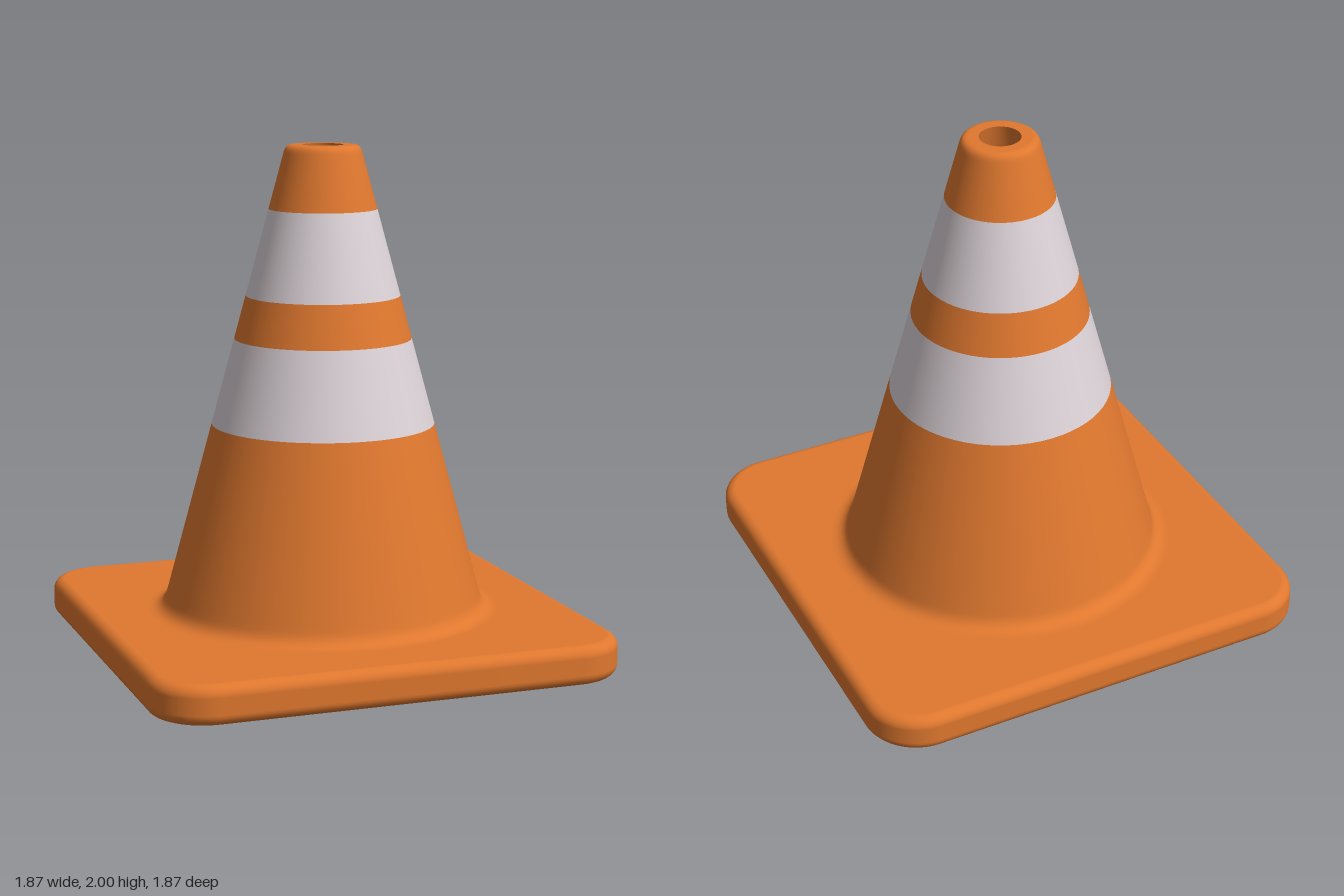
import * as THREE from 'three';

const HALF = 0.935, CORNER = 0.22, BEVEL = 0.045, THICK = 0.155, HOLE = 0.58;
const SIDES = 64;

// Radius of the cone's outer wall at height y
const wall = (y) => 0.686 - 0.27 * y;
const v = (x, y) => new THREE.Vector2(x, y);

// Rounded square slab with a round hole and softened edges
function baseGeometry() {
  const a = HALF - BEVEL, r = CORNER - BEVEL, c = a - r;
  const shape = new THREE.Shape();
  shape.moveTo(a, -c);
  [[c, c, 0], [-c, c, 1], [-c, -c, 2], [c, -c, 3]].forEach(([x, y, q]) =>
    shape.absarc(x, y, r, q * Math.PI / 2, (q + 1) * Math.PI / 2, false));
  const hole = new THREE.Path();
  hole.absarc(0, 0, HOLE, 0, Math.PI * 2, true);
  shape.holes.push(hole);

  const geo = new THREE.ExtrudeGeometry(shape, {
    depth: THICK - 2 * BEVEL, bevelThickness: BEVEL, bevelSize: BEVEL,
    bevelSegments: 6, curveSegments: 16,
  });
  geo.rotateX(-Math.PI / 2);
  geo.translate(0, BEVEL, 0);

  // Smooth normals on the rounded edges; the flat faces keep their own
  const pos = geo.attributes.position, nor = geo.attributes.normal;
  const clamp = THREE.MathUtils.clamp;
  const sides = geo.groups[1];
  const n = new THREE.Vector3();
  for (let i = sides.start; i < sides.start + sides.count; i++) {
    const x = pos.getX(i), y = pos.getY(i), z = pos.getZ(i);
    const rad = Math.hypot(x, z);
    const dy = y - clamp(y, BEVEL, THICK - BEVEL);
    if (rad < HOLE + 0.01) {
      const out = Math.max(HOLE - rad, 0);
      n.set(-x / rad * out, dy, -z / rad * out);
    } else {
      const dx = x - clamp(x, -c, c), dz = z - clamp(z, -c, c);
      const d = Math.hypot(dx, dz), out = Math.max(d - r, 0);
      n.set(dx / d * out, dy, dz / d * out);
    }
    n.normalize();
    nor.setXYZ(i, n.x, n.y, n.z);
  }
  geo.clearGroups();
  return geo;
}

export function createModel() {
  const orange = new THREE.MeshStandardMaterial({ color: 0xe0782f });
  const white = new THREE.MeshStandardMaterial({ color: 0xddd3d8 });
  const group = new THREE.Group();
  group.name = 'trafficCone';

  const add = (name, geo, mat) => {
    const mesh = new THREE.Mesh(geo, mat);
    mesh.name = name;
    group.add(mesh);
  };
  const turn = (name, points, mat) => add(name, new THREE.LatheGeometry(points, SIDES), mat);

  add('base', baseGeometry(), orange);

  // Lower cone flaring into the base
  const flare = new THREE.QuadraticBezierCurve(v(0.70, THICK), v(wall(THICK), THICK), v(wall(0.21), 0.21));
  turn('lowerCone', [...flare.getPoints(8), v(wall(0.23), 0.23), v(wall(0.9), 0.9)], orange);

  // Bands up the cone
  [['lowerStripe', 0.9, 1.24, white], ['middleBand', 1.24, 1.41, orange], ['upperStripe', 1.41, 1.75, white]]
    .forEach(([name, y0, y1, mat]) => turn(name, [v(wall(y0), y0), v(wall(y1), y1)], mat));

  // Tip with a rounded lip
  const lip = new THREE.QuadraticBezierCurve(v(wall(1.972), 1.972), v(wall(2), 2), v(0.122, 2));
  turn('tip', [v(wall(1.75), 1.75), v(wall(1.965), 1.965), ...lip.getPoints(6), v(0.118, 2), v(0.08, 2)], orange);

  // Hollow inside, open at both ends
  turn('innerWall', [v(0.08, 2), v(HOLE - BEVEL, THICK - BEVEL)], orange);

  return group;
}
